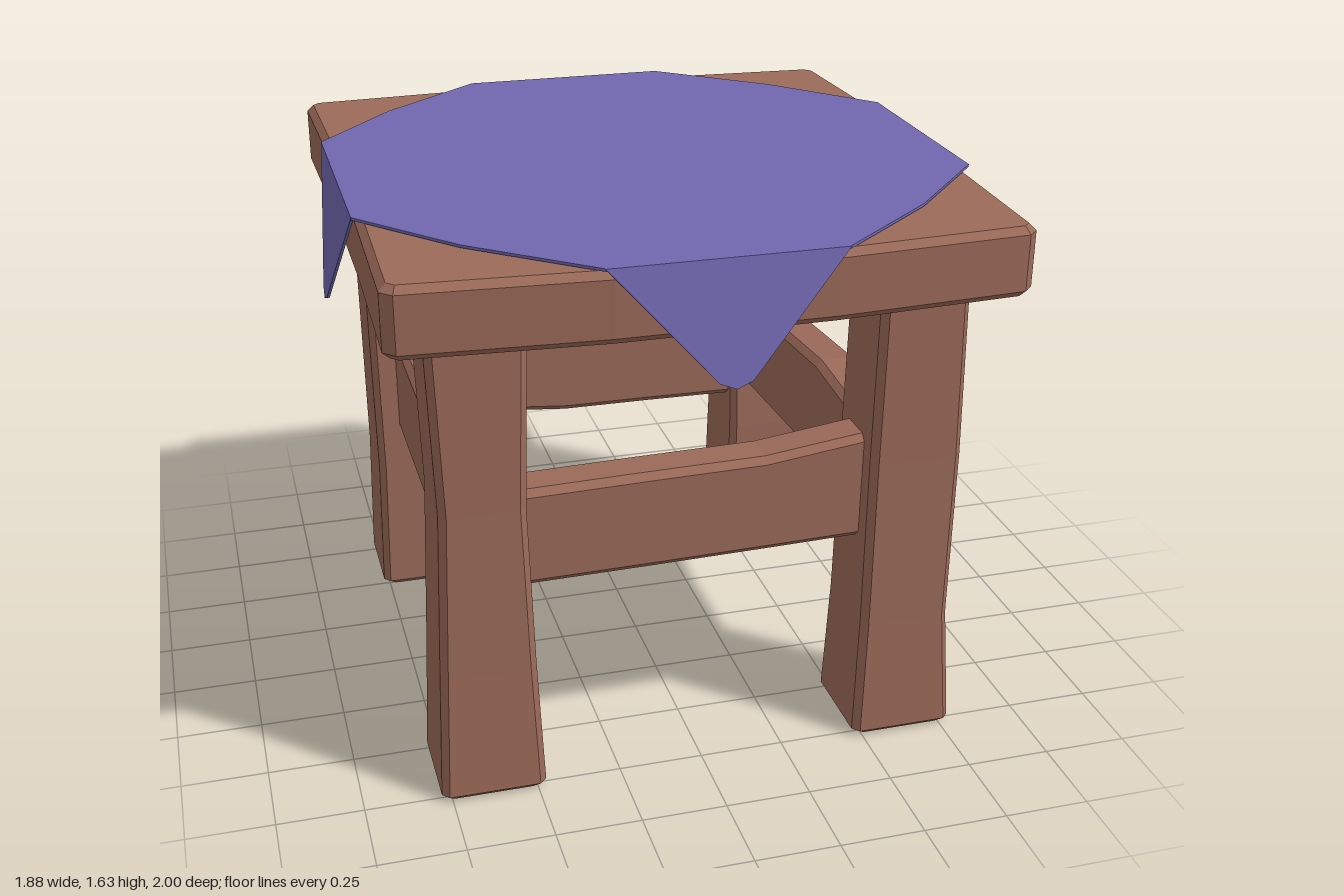
import * as THREE from 'three';

const wood = new THREE.MeshStandardMaterial({ color: 0x9b6a59, flatShading: true });
const fabric = new THREE.MeshStandardMaterial({ color: 0x7067ae, flatShading: true, side: THREE.DoubleSide });
const BEVEL = 0.02;

// Bevelled beam along z; each section is [z, xMin, xMax, yMin, yMax]
function beam(sections) {
  const inset = ([z, a, b, c, d], dz) => [z + dz, a + BEVEL, b - BEVEL, c + BEVEL, d - BEVEL];
  const mid = sections.map((s) => [...s]);
  const first = inset(sections[0], 0), last = inset(sections.at(-1), 0);
  mid[0][0] += BEVEL;
  mid.at(-1)[0] -= BEVEL;
  const pos = [], idx = [];
  for (const [z, a, b, c, d] of [first, ...mid, last]) {
    const e = BEVEL;
    for (const [x, y] of [[a + e, c], [b - e, c], [b, c + e], [b, d - e],
      [b - e, d], [a + e, d], [a, d - e], [a, c + e]]) pos.push(x, y, z);
  }
  const rings = mid.length + 2;
  for (let r = 0; r < rings - 1; r++) {
    for (let i = 0; i < 8; i++) {
      const p = r * 8 + i, q = r * 8 + (i + 1) % 8;
      idx.push(p, q, q + 8, p, q + 8, p + 8);
    }
  }
  const top = (rings - 1) * 8;
  for (let i = 1; i < 7; i++) idx.push(0, i + 1, i, top, top + i, top + i + 1);
  const geo = new THREE.BufferGeometry();
  geo.setAttribute('position', new THREE.Float32BufferAttribute(pos, 3));
  geo.setIndex(idx);
  geo.computeVertexNormals();
  return geo;
}

const shapeOf = (pts) => new THREE.Shape(pts.map(([x, y]) => new THREE.Vector2(x, y)));

export function createModel() {
  const model = new THREE.Group();
  const add = (name, geo, mat, parent = model) => {
    const mesh = new THREE.Mesh(geo, mat);
    mesh.name = name;
    parent.add(mesh);
    return mesh;
  };

  // Legs: [height, inner x, outer x, inner z, outer z]
  const legs = {
    frontLeftLeg: [1, 1, [[0, .47, .78, .48, .785], [.38, .485, .757, .485, .765], [.9, .49, .765, .49, .755], [1.45, .498, .757, .495, .75]]],
    frontRightLeg: [-1, 1, [[0, .475, .78, .48, .785], [.4, .49, .765, .487, .765], [.9, .505, .747, .49, .755], [1.45, .488, .765, .495, .75]]],
    backLeftLeg: [1, -1, [[0, .475, .78, .475, .79], [.45, .485, .775, .492, .785], [.95, .49, .77, .53, .785], [1.45, .495, .76, .5, .77]]],
    backRightLeg: [-1, -1, [[0, .475, .77, .475, .785], [.45, .49, .76, .485, .775], [.95, .5, .765, .5, .77], [1.45, .49, .77, .485, .76]]],
  };
  for (const [name, [sx, sz, rows]] of Object.entries(legs)) {
    const sections = rows.map(([y, a, b, c, d]) => [y,
      ...(sx > 0 ? [a, b] : [-b, -a]), ...(sz > 0 ? [-d, -c] : [c, d])]);
    add(name, beam(sections).rotateX(-Math.PI / 2), wood);
  }

  // Stretchers: [position along, bottom, top]
  const T = 0.07;
  const rail = (rows) => beam(rows.map(([t, lo, hi]) => [t, -T, T, lo, hi]));
  const front = rail([[-.56, .617, .915], [-.15, .622, .923], [.2, .628, .928], [.56, .635, .97]]);
  add('frontStretcher', front.rotateY(Math.PI / 2), wood).position.z = 0.615;
  const back = rail([[-.56, .6, .94], [-.1, .56, .95], [.2, .558, .93], [.56, .553, .925]]);
  add('backStretcher', back.rotateY(Math.PI / 2), wood).position.z = -0.615;
  add('leftStretcher', rail([[-.56, .59, .905], [-.2, .61, .935], [.14, .63, .963], [.56, .617, .93]]), wood).position.x = 0.615;
  add('rightStretcher', rail([[-.56, .587, .945], [-.3, .59, .925], [.14, .6, .93], [.56, .612, .92]]), wood).position.x = -0.615;

  // Tabletop: slightly bowed outline with bevelled edges
  const b = BEVEL;
  const outline = [[-.84, -.86], [-.3, -.89], [.3, -.89], [.84, -.86], [.86, -.84], [.88, -.3], [.88, .3],
    [.86, .84], [.84, .86], [.3, .895], [-.3, .895], [-.84, .86], [-.86, .84], [-.85, .3], [-.85, -.3], [-.86, -.84]];
  const slab = new THREE.ExtrudeGeometry(shapeOf(outline), {
    depth: 0.2 - 2 * b, bevelEnabled: true, bevelThickness: b, bevelSize: b, bevelSegments: 1,
  });
  slab.rotateX(Math.PI / 2);
  add('tabletop', slab, wood).position.y = 1.62 - b;

  // Tablecloth: flat sheet plus four hanging corners
  const cloth = new THREE.Group();
  cloth.name = 'tablecloth';
  model.add(cloth);
  const thin = { depth: 0.008, bevelEnabled: false };
  const sheet = [[-.32, -.93], [.32, -.93], [.64, -.66], [.91, -.35], [.91, .35], [.64, .65],
    [.32, .92], [-.32, .92], [-.64, .65], [-.885, .36], [-.885, -.37], [-.64, -.66]];
  add('clothSheet', new THREE.ExtrudeGeometry(shapeOf(sheet), thin).rotateX(Math.PI / 2), fabric, cloth).position.y = 1.632;

  // Flaps: [name, turn, distance out, half width, drop, flare]
  const flaps = [
    ['frontFlap', 0, .92, .325, .33, .077],
    ['leftFlap', Math.PI / 2, .91, .345, .295, .03],
    ['backFlap', Math.PI, .93, .325, .325, .07],
    ['rightFlap', -Math.PI / 2, .885, .365, .36, .055],
  ];
  for (const [name, turn, out, w, drop, flare] of flaps) {
    const len = Math.hypot(drop, flare);
    const shape = shapeOf([[-w, 0], [-.045, .018 - len], [0, -len], [.045, .018 - len], [w, 0]]);
    const geo = new THREE.ExtrudeGeometry(shape, thin);
    geo.translate(0, 0, -thin.depth).rotateX(-Math.atan2(flare, drop));
    geo.translate(0, 1.632, out).rotateY(turn);
    add(name, geo, fabric, cloth);
  }
  return model;
}
